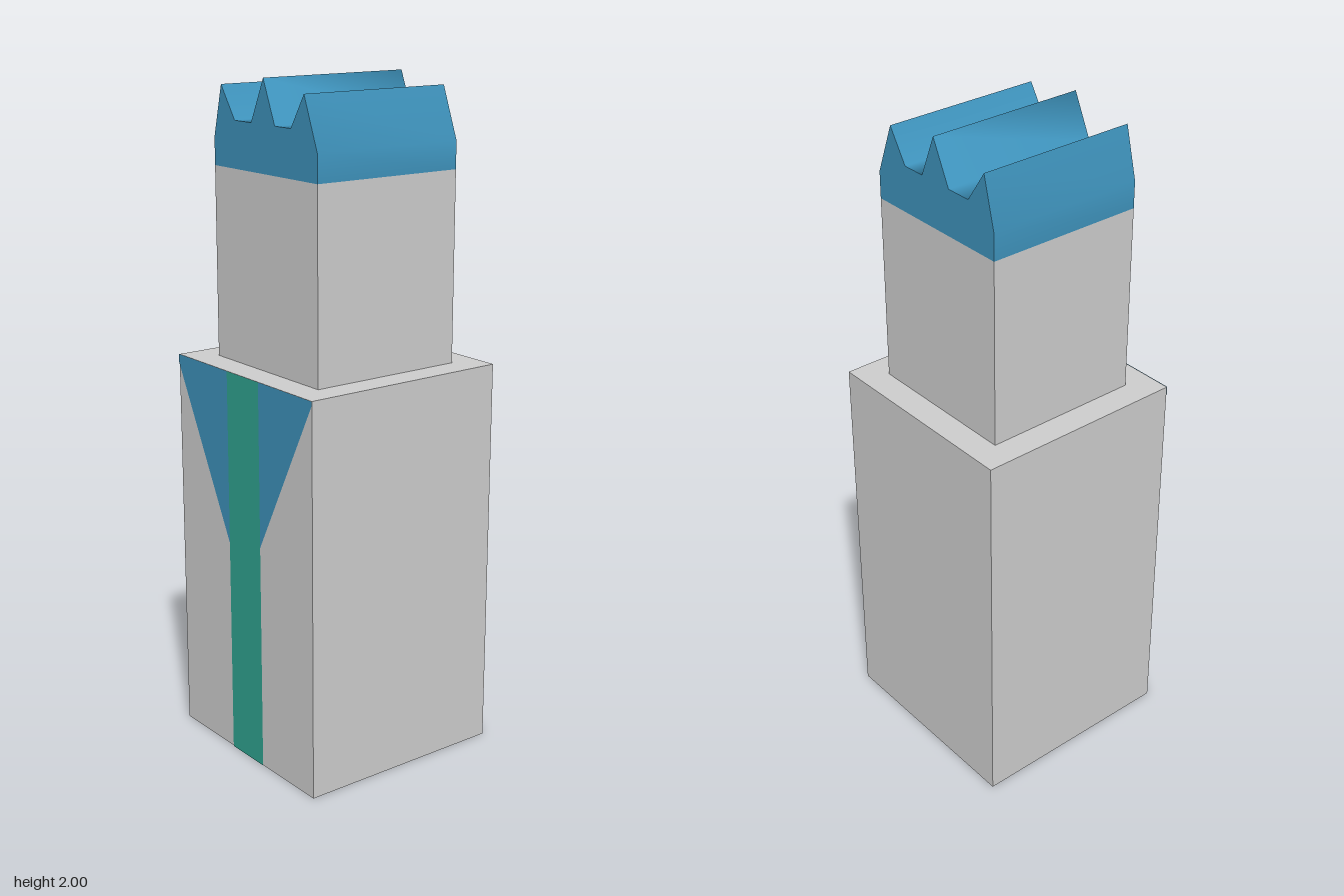
import * as THREE from 'three';

const material = (name, color, side = THREE.FrontSide) => {
  const m = new THREE.MeshStandardMaterial({ color, side });
  m.name = name;
  return m;
};

export function createModel() {
  const grey = material('light grey', 0xcecece);
  const blue = material('blue', 0x3e92bb, THREE.DoubleSide);
  const green = material('green', 0x30a390);
  const model = new THREE.Group();
  model.name = 'figure';

  const add = (parent, name, geometry, mat, x = 0, y = 0, z = 0) => {
    const mesh = new THREE.Mesh(geometry, mat);
    mesh.name = name;
    mesh.position.set(x, y, z);
    parent.add(mesh);
    return mesh;
  };
  const shapeOf = (points) => new THREE.Shape(points.map(([x, y]) => new THREE.Vector2(x, y)));

  const bodyHalf = 0.327, bodyTop = 1.18;
  const headHalf = 0.243, headTop = 1.74;

  // Square body and head blocks
  add(model, 'body', new THREE.BoxGeometry(bodyHalf * 2, bodyTop, bodyHalf * 2), grey, 0, bodyTop / 2);
  add(model, 'head', new THREE.BoxGeometry(headHalf * 2, headTop - bodyTop, headHalf * 2), grey,
    0, (bodyTop + headTop) / 2);

  // Lapels either side of the front stripe
  const lapels = [
    ['rightLapel', [[-bodyHalf, bodyTop], [-bodyHalf, 1.155], [-0.075, 0.66], [-0.075, bodyTop]]],
    ['leftLapel', [[0.08, bodyTop], [0.08, 0.69], [bodyHalf, 1.165], [bodyHalf, bodyTop]]],
  ];
  for (const [name, points] of lapels) {
    add(model, name, new THREE.ShapeGeometry(shapeOf(points)), blue, 0, 0, bodyHalf + 0.002);
  }
  const stripe = [[-0.075, 0], [0.08, 0], [0.08, bodyTop], [-0.075, bodyTop]];
  add(model, 'frontStripe', new THREE.ShapeGeometry(shapeOf(stripe)), green, 0, 0, bodyHalf + 0.002);

  // Spiky hair: one profile run from front to back
  const hair = new THREE.Group();
  hair.name = 'hair';
  model.add(hair);
  const profile = [
    [-headHalf, headTop], [-headHalf, 1.82], [-0.205, 1.97], [-0.14, 1.875], [-0.06, 1.875],
    [0, 2], [0.052, 1.875], [0.125, 1.875], [0.185, 1.97], [headHalf, 1.82], [headHalf, headTop],
  ];

  // Smooth strip along part of the profile
  const strip = (points) => {
    const geometry = new THREE.PlaneGeometry(1, 1, points.length - 1, 1);
    const position = geometry.attributes.position;
    for (let i = 0; i < position.count; i++) {
      const [x, y] = points[i % points.length];
      position.setXYZ(i, x, y, i < points.length ? -headHalf : headHalf);
    }
    geometry.computeVertexNormals();
    return geometry;
  };
  add(hair, 'rightHairFlank', strip(profile.slice(0, 3)), blue);
  add(hair, 'hairSpikes', strip(profile.slice(2, 9)), blue);
  add(hair, 'leftHairFlank', strip(profile.slice(8)), blue);

  // Flat ends of the hair
  add(hair, 'hairFront', new THREE.ShapeGeometry(shapeOf(profile)), blue, 0, 0, headHalf);
  const mirrored = profile.map(([x, y]) => [-x, y]);
  add(hair, 'hairBack', new THREE.ShapeGeometry(shapeOf(mirrored)), blue, 0, 0, -headHalf).rotation.y = Math.PI;

  return model;
}
